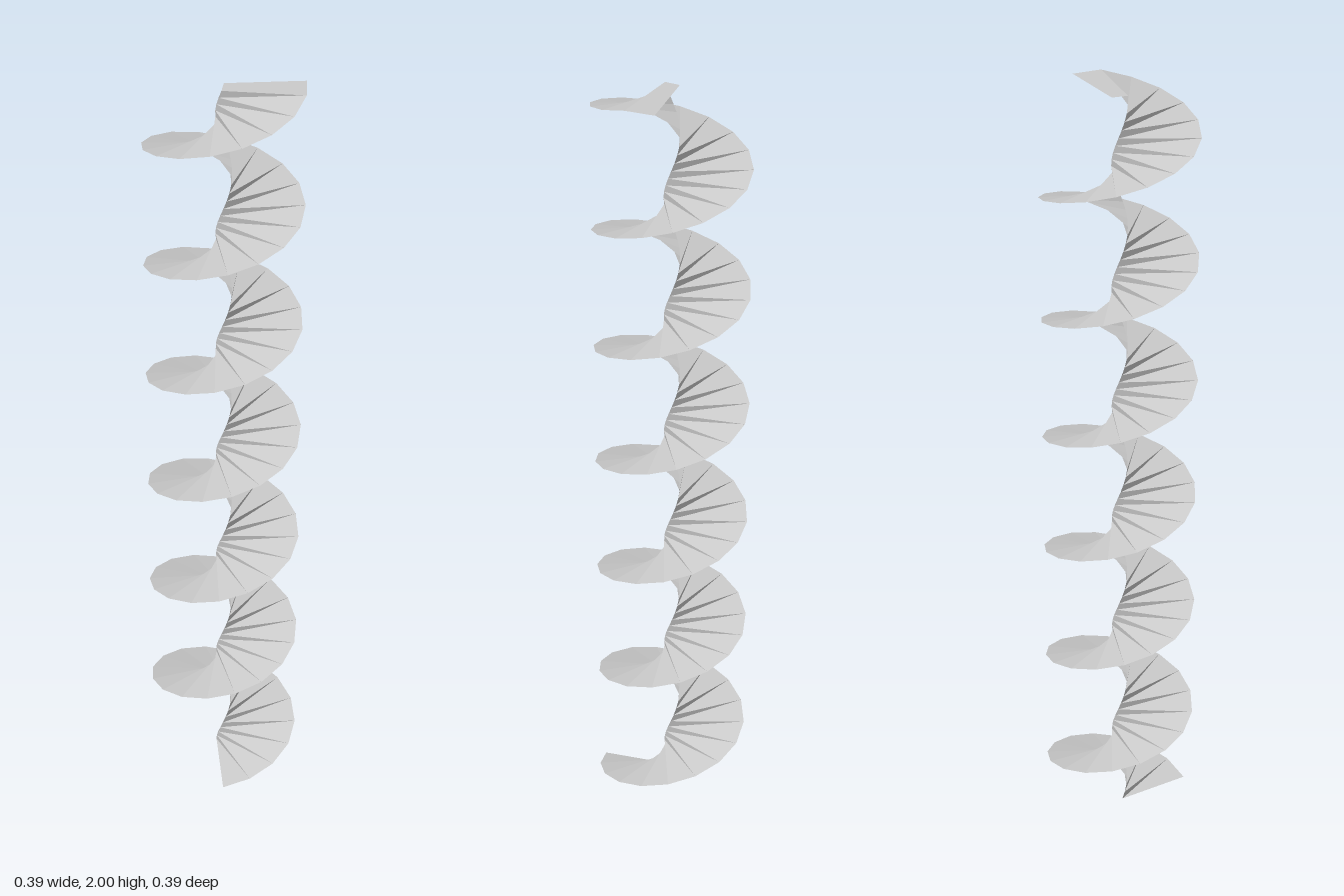
import * as THREE from 'three';

const OUTER = 0.195, INNER = 0.02, HEIGHT = 2;
const STEPS = 103;
const START = -10, END = 68 + 6 * 360; // degrees of the outer edge
const LAG = 93; // the inner edge trails the outer edge

const material = new THREE.MeshStandardMaterial({ color: 0xcccccc, flatShading: true, side: THREE.DoubleSide });

function polar(radius, degrees, y) {
  const a = THREE.MathUtils.degToRad(degrees);
  return [radius * Math.sin(a), y, radius * Math.cos(a)];
}

// Strip of quads between pairs of [inner, outer] points
function strip(name, rungs) {
  const index = [];
  for (let i = 0; i < rungs.length - 1; i++) {
    const k = 2 * i;
    index.push(k, k + 1, k + 3, k, k + 3, k + 2);
  }
  const geometry = new THREE.BufferGeometry();
  geometry.setAttribute('position', new THREE.Float32BufferAttribute(rungs.flat(2), 3));
  geometry.setIndex(index);
  geometry.computeVertexNormals();
  const mesh = new THREE.Mesh(geometry, material);
  mesh.name = name;
  return mesh;
}

export function createModel() {
  const group = new THREE.Group();
  group.name = 'screwFlight';

  // Spiral blade made of level rungs, each nearly tangent to the inner core
  const rungs = [];
  for (let i = 0; i <= STEPS; i++) {
    const t = i / STEPS;
    const a = START + (END - START) * t;
    rungs.push([polar(INNER, a - LAG, HEIGHT * t), polar(OUTER, a, HEIGHT * t)]);
  }
  group.add(strip('spiralBlade', rungs));

  // Level end panel at the top
  group.add(strip('topPanel', [
    rungs[STEPS],
    [polar(INNER, 170, HEIGHT), polar(OUTER, END + 22, HEIGHT)],
  ]));
  return group;
}
